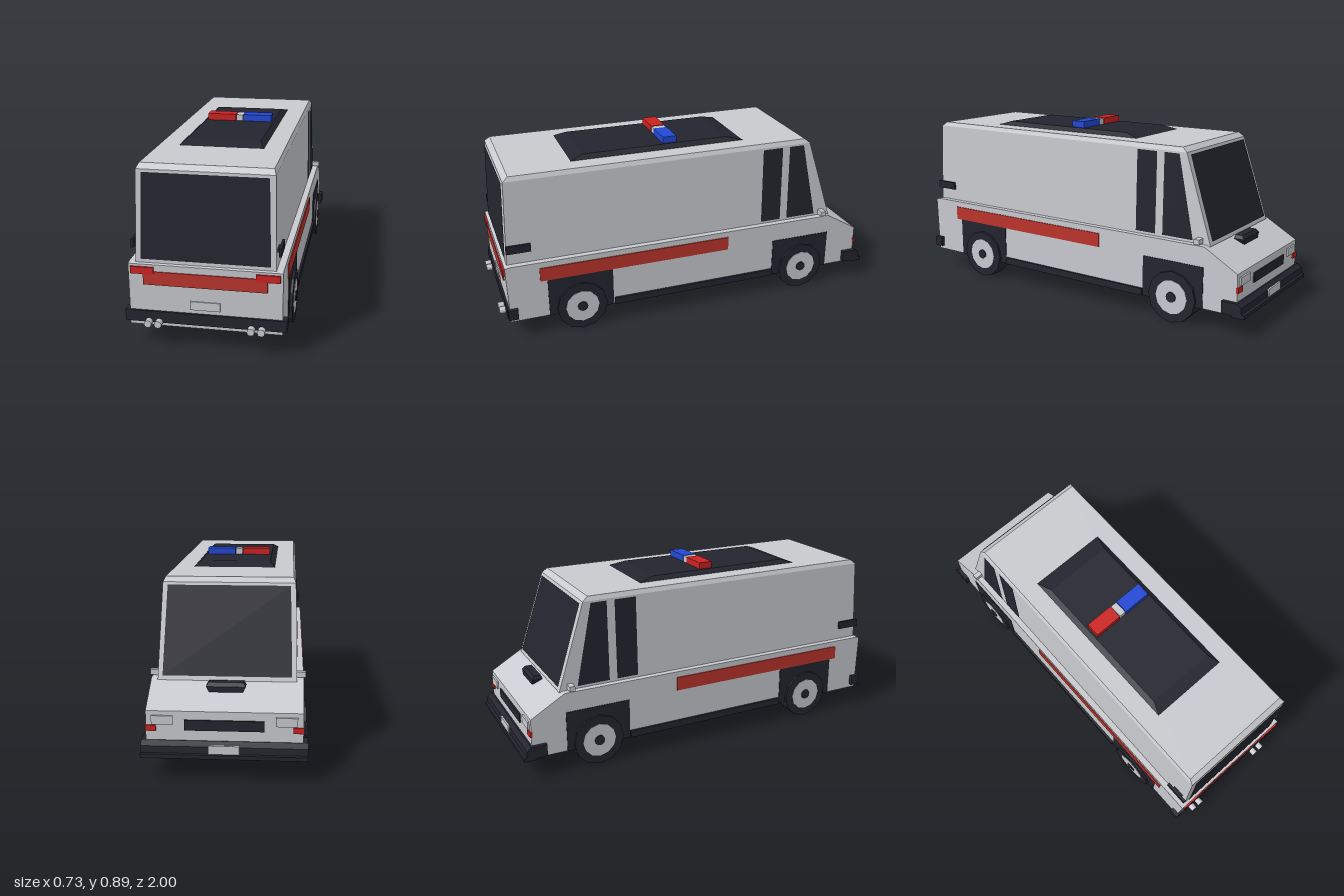
import * as THREE from 'three';

const mat = (name, color, side = THREE.FrontSide) => {
  const m = new THREE.MeshStandardMaterial({ color, flatShading: true, side });
  m.name = name;
  return m;
};

export function createModel() {
  const grey = mat('body grey', 0xc8cacf);
  const dark = mat('dark trim', 0x24242f, THREE.DoubleSide);
  const red = mat('lamp red', 0xcc2222);
  const stripeRed = mat('stripe red', 0xbb342c);
  const blue = mat('lamp blue', 0x2248d4);

  const van = new THREE.Group();
  van.name = 'van';
  const add = (name, geometry, material) => {
    const mesh = new THREE.Mesh(geometry, material);
    mesh.name = name;
    van.add(mesh);
    return mesh;
  };
  // box from its limits on each axis
  const box = (name, m, x0, x1, y0, y1, z0, z1) =>
    add(name, new THREE.BoxGeometry(Math.abs(x1 - x0), y1 - y0, z1 - z0)
      .translate((x0 + x1) / 2, (y0 + y1) / 2, (z0 + z1) / 2), m);
  // same box on both sides
  const pair = (name, m, x0, x1, ...rest) => {
    box(name + 'Left', m, x0, x1, ...rest);
    box(name + 'Right', m, -x0, -x1, ...rest);
  };
  // side profile of [z, y] points, extruded across the width
  const prism = (name, m, points, halfWidth) => {
    const shape = new THREE.Shape(points.map(([z, y]) => new THREE.Vector2(z, y)));
    const g = new THREE.ExtrudeGeometry(shape, { depth: 2 * halfWidth, bevelEnabled: false });
    return add(name, g.rotateY(-Math.PI / 2).translate(halfWidth, 0, 0), m);
  };
  // stacked rectangles [y, zMin, zMax, halfWidth], closed at both ends
  const loft = (name, m, rings) => {
    const pos = [], idx = [];
    rings.forEach(([y, z0, z1, w]) => pos.push(-w, y, z1, w, y, z1, w, y, z0, -w, y, z0));
    for (let r = 0; r < rings.length - 1; r++) {
      for (let i = 0; i < 4; i++) {
        const a = r * 4 + i, b = r * 4 + (i + 1) % 4;
        idx.push(a, b, b + 4, a, b + 4, a + 4);
      }
    }
    const t = (rings.length - 1) * 4;
    idx.push(t, t + 1, t + 2, t, t + 2, t + 3, 0, 2, 1, 0, 3, 2);
    const g = new THREE.BufferGeometry();
    g.setAttribute('position', new THREE.Float32BufferAttribute(pos, 3));
    g.setIndex(idx);
    const flat = g.toNonIndexed();
    flat.computeVertexNormals();
    return add(name, flat, m);
  };
  // flat four-cornered pane, corners counter-clockwise from outside
  const pane = (name, corners) => {
    const g = new THREE.BufferGeometry();
    const [a, b, c, d] = corners;
    g.setAttribute('position', new THREE.Float32BufferAttribute([a, b, c, a, c, d].flat(), 3));
    g.computeVertexNormals();
    return add(name, g, dark);
  };

  // lower body with sloping bonnet
  prism('lowerBody', grey, [[0.957, 0.10], [0.965, 0.395], [0.94, 0.40], [-0.78, 0.40],
    [-0.952, 0.30], [-0.955, 0.10]], 0.345);

  // upper body with chamfered roof
  loft('upperBody', grey, [[0.395, -0.797, 0.95, 0.314], [0.82, -0.657, 0.932, 0.304],
    [0.842, -0.63, 0.905, 0.294]]);

  // windows, set just off the sloping walls
  const sideX = (y) => 0.3175 - (y - 0.395) * 0.0235;
  const rearZ = (y) => 0.954 - (y - 0.395) * 0.042;
  const frontZ = (y) => -0.801 + (y - 0.395) * 0.329;
  pane('rearWindow', [[-0.29, 0.415, rearZ(0.415)], [0.29, 0.415, rearZ(0.415)],
    [0.279, 0.808, rearZ(0.808)], [-0.279, 0.808, rearZ(0.808)]]);
  pane('windscreen', [[0.292, 0.415, frontZ(0.415)], [-0.292, 0.415, frontZ(0.415)],
    [-0.281, 0.808, frontZ(0.808)], [0.281, 0.808, frontZ(0.808)]]);
  const lo = 0.413, hi = 0.812;
  for (const s of [1, -1]) {
    for (const [name, back, frontLow, frontHigh] of
      [['doorWindow', -0.39, -0.50, -0.50], ['quarterWindow', -0.54, -0.705, -0.62]]) {
      const c = [[s * sideX(lo), lo, back], [s * sideX(lo), lo, frontLow],
        [s * sideX(hi), hi, frontHigh], [s * sideX(hi), hi, back]];
      pane(name + (s > 0 ? 'Left' : 'Right'), s > 0 ? c : c.reverse());
    }
  }

  // roof fairing and light bar
  loft('roofFairing', dark, [[0.838, -0.335, 0.60, 0.205], [0.862, -0.235, 0.525, 0.175]]);
  box('beaconRed', red, -0.165, -0.02, 0.86, 0.895, 0.033, 0.105);
  box('beaconMiddle', grey, -0.017, 0.017, 0.86, 0.893, 0.035, 0.103);
  box('beaconBlue', blue, 0.02, 0.165, 0.86, 0.895, 0.033, 0.105);

  // side stripes, sills and wheel arches
  pair('sideStripe', stripeRed, 0.342, 0.35, 0.30, 0.37, -0.19, 0.80);
  pair('sill', dark, 0.335, 0.357, 0.10, 0.135, -0.45, 0.43);
  pair('rearArch', dark, 0.341, 0.348, 0.099, 0.302, 0.435, 0.765);
  pair('frontArch', dark, 0.341, 0.348, 0.099, 0.302, -0.78, -0.452);

  // rear corner handles and small mirrors
  pair('cornerHandle', dark, 0.322, 0.334, 0.463, 0.503, 0.83, 0.95);
  pair('handleMount', dark, 0.30, 0.324, 0.473, 0.488, 0.86, 0.92);
  pair('mirror', grey, 0.305, 0.354, 0.406, 0.431, -0.757, -0.73);

  // tail lights, rear band, plate
  box('rearBand', stripeRed, -0.278, 0.278, 0.30, 0.363, 0.955, 0.969);
  pair('tailLight', red, 0.228, 0.334, 0.351, 0.384, 0.955, 0.973);
  box('rearPlate', grey, -0.068, 0.068, 0.192, 0.232, 0.955, 0.966);

  // rear bumper with wrapped ends
  box('rearBumper', dark, -0.347, 0.347, 0.12, 0.173, 0.94, 0.97);
  pair('rearBumperEnd', dark, 0.34, 0.365, 0.12, 0.173, 0.92, 0.968);

  // twin exhausts on each side
  for (const x of [-0.255, -0.209, 0.209, 0.255]) {
    add('exhaust', new THREE.CylinderGeometry(0.017, 0.017, 0.07, 12)
      .rotateX(Math.PI / 2).translate(x, 0.123, 0.965), grey);
  }

  // front bumper with lower lip
  prism('frontBumper', dark, [[-0.94, 0.10], [-0.94, 0.168], [-0.962, 0.168],
    [-0.984, 0.15], [-0.987, 0.12], [-1.0, 0.118], [-1.0, 0.10]], 0.365);
  pair('frontBumperEnd', dark, 0.34, 0.365, 0.108, 0.168, -0.95, -0.885);
  box('frontPlate', grey, -0.068, 0.068, 0.12, 0.158, -0.992, -0.983);

  // nose details
  box('grille', dark, -0.175, 0.175, 0.215, 0.262, -0.96, -0.95);
  pair('headlight', grey, 0.225, 0.32, 0.24, 0.28, -0.961, -0.95);
  pair('markerLight', red, 0.30, 0.347, 0.21, 0.236, -0.96, -0.948);

  // bonnet vent
  loft('bonnetVent', dark, [[0.36, -0.858, -0.805, 0.075], [0.385, -0.858, -0.807, 0.088],
    [0.402, -0.845, -0.81, 0.078]]);

  // wheels
  const disc = (r, w, x) => new THREE.CylinderGeometry(r, r, w, 12)
    .rotateZ(Math.PI / 2).translate(x, 0, 0);
  for (const s of [1, -1]) {
    for (const z of [0.60, -0.62]) {
      const wheel = new THREE.Group();
      wheel.name = (z > 0 ? 'rear' : 'front') + 'Wheel' + (s > 0 ? 'Left' : 'Right');
      for (const [name, r, w, m] of [['tyre', 0.128, 0.08, dark], ['rim', 0.085, 0.084, grey],
        ['hub', 0.026, 0.094, dark]]) {
        const mesh = new THREE.Mesh(disc(r, w, s * 0.32), m);
        mesh.name = name;
        wheel.add(mesh);
      }
      wheel.position.set(0, 0.128, z);
      van.add(wheel);
    }
  }
  return van;
}
